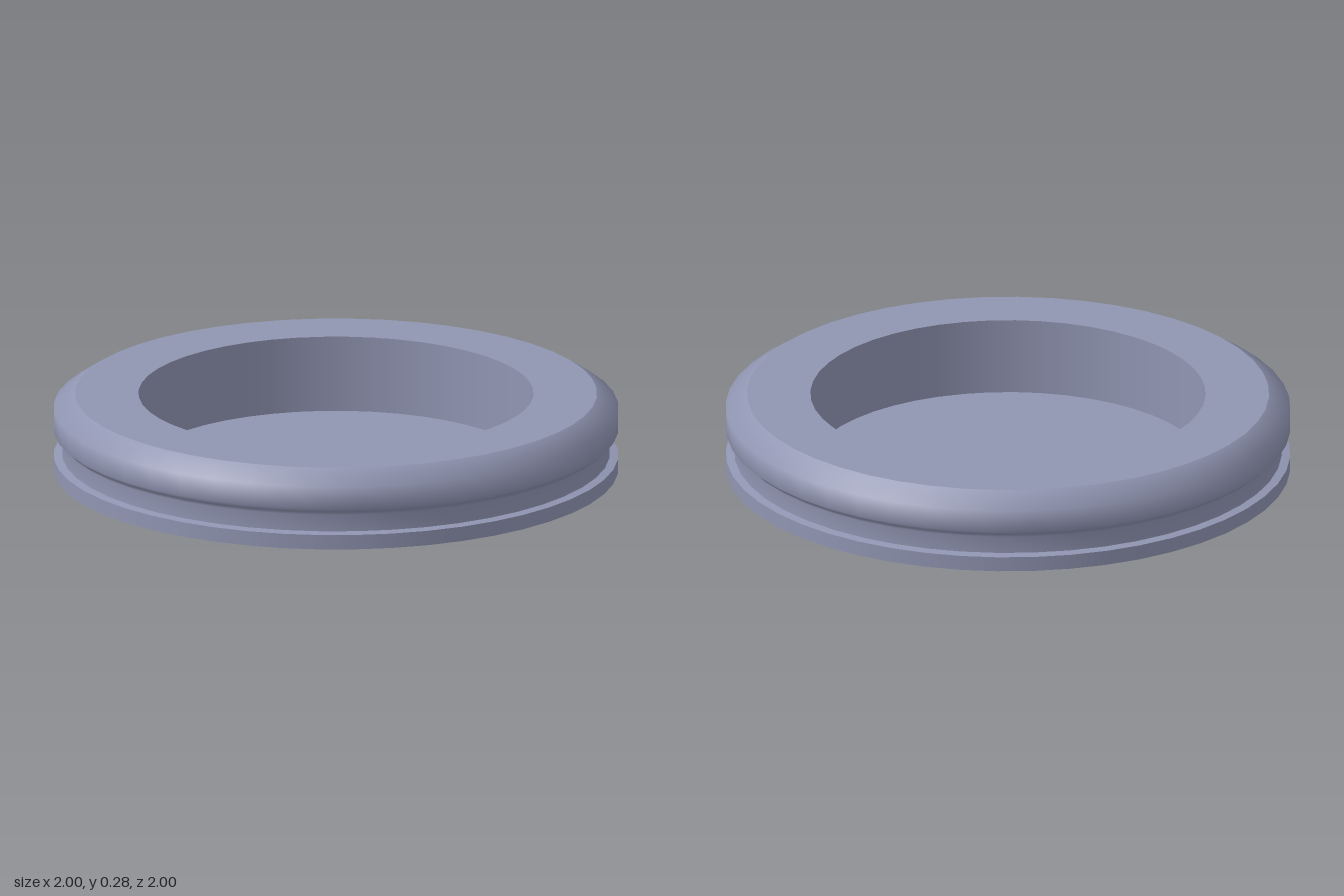
import * as THREE from 'three';

const SEGMENTS = 48;

export function createModel() {
  const model = new THREE.Group();
  model.name = 'groovedDish';
  const slate = new THREE.MeshStandardMaterial({ color: 0x9095b2 });
  slate.name = 'slate blue';

  // Each band is smooth within itself; separate bands meet at a sharp edge.
  const band = (name, profile) => {
    const points = profile.map(([r, y]) => new THREE.Vector2(r, y));
    const mesh = new THREE.Mesh(new THREE.LatheGeometry(points, SEGMENTS), slate);
    mesh.name = name;
    model.add(mesh);
  };

  // Foot: flat underside, short lip and the ledge above it
  band('underside', [[0, 0], [1, 0]]);
  band('footLip', [[1, 0], [1, 0.053]]);
  band('footLedge', [[1, 0.053], [0.97, 0.058]]);

  // Groove, flaring smoothly into the outer wall and chamfer
  band('grooveAndOuterWall', [
    [0.97, 0.058], [0.968, 0.118], [0.978, 0.132], [1, 0.15], [1, 0.23], [0.925, 0.28],
  ]);

  // Flat rim, recess wall and recess floor
  band('topRim', [[0.925, 0.28], [0.7, 0.28]]);
  band('recessWall', [[0.7, 0.28], [0.7, 0.006]]);
  band('recessFloor', [[0.7, 0.006], [0, 0.006]]);

  return model;
}
